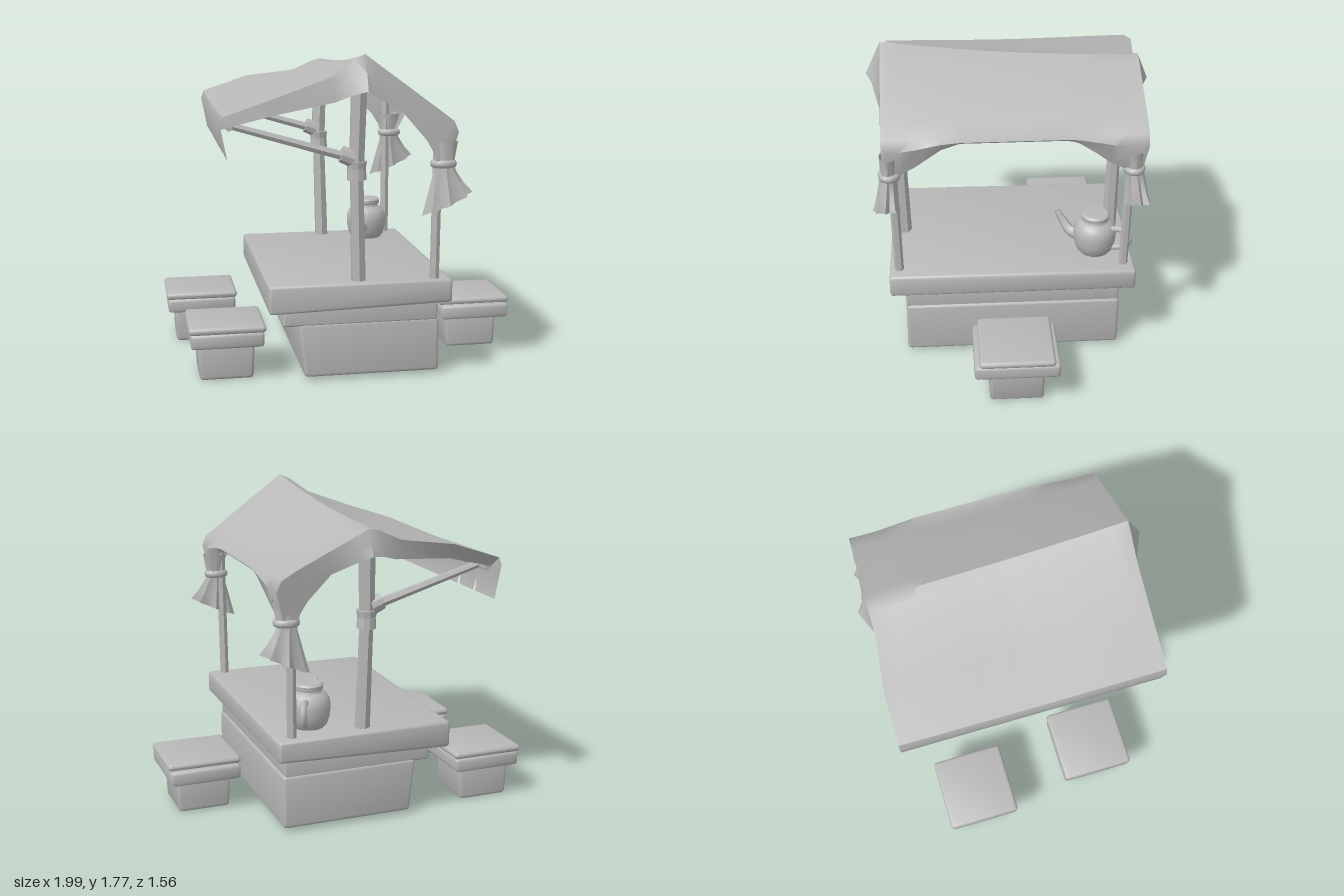
import * as THREE from 'three';
import { toCreasedNormals } from 'three/addons/utils/BufferGeometryUtils.js';
import { RoundedBoxGeometry } from 'three/addons/geometries/RoundedBoxGeometry.js';

const V = (x, y, z) => new THREE.Vector3(x, y, z);
const clamp = THREE.MathUtils.clamp;

export function createModel() {
  const model = new THREE.Group();
  const clay = new THREE.MeshStandardMaterial({ color: 0xb8b8b8, side: THREE.DoubleSide });
  clay.name = 'grey clay';

  const add = (name, geo, parent = model) => {
    const m = new THREE.Mesh(geo, clay);
    m.name = name;
    parent.add(m);
    return m;
  };
  const reshape = (geo, rule) => {
    const p = geo.attributes.position, v = V(0, 0, 0);
    for (let i = 0; i < p.count; i++) {
      rule(v.fromBufferAttribute(p, i));
      p.setXYZ(i, v.x, v.y, v.z);
    }
    return toCreasedNormals(geo, 0.6);
  };

  // Worn, round-edged block between two corners, slightly skewed by a rule
  const block = (name, x0, x1, y0, y1, z0, z1, r, rule = () => {}, parent = model) => {
    const geo = new RoundedBoxGeometry(x1 - x0, y1 - y0, z1 - z0, 2, r);
    geo.translate((x0 + x1) / 2, (y0 + y1) / 2, (z0 + z1) / 2);
    return add(name, reshape(geo, rule), parent);
  };

  // Straight pole between two points
  const pole = (name, a, b, ra, rb = ra, sides = 6) => {
    const d = b.clone().sub(a);
    const geo = new THREE.CylinderGeometry(rb, ra, d.length(), sides);
    const m = add(name, toCreasedNormals(geo, 0.6));
    m.position.copy(a).addScaledVector(d, 0.5);
    m.quaternion.setFromUnitVectors(V(0, 1, 0), d.normalize());
    return m;
  };

  // Grid surface from rows of points
  const surface = (name, rows) => {
    const n = rows[0].length, idx = [];
    for (let j = 0; j < rows.length - 1; j++)
      for (let i = 0; i < n - 1; i++) {
        const a = j * n + i, b = a + n;
        idx.push(a, b, a + 1, a + 1, b, b + 1);
      }
    const geo = new THREE.BufferGeometry().setFromPoints(rows.flat());
    geo.setIndex(idx);
    return add(name, toCreasedNormals(geo, 0.75));
  };

  // Counter
  block('counterBase', -0.32, 0.46, 0.02, 0.325, -0.62, 0.605, 0.02, v => {
    if (v.x < 0) v.x += (0.32 - v.y) * 0.1;
  });
  block('counterMiddle', -0.41, 0.45, 0.31, 0.43, -0.615, 0.605, 0.012, v => {
    if (v.x < 0 && v.y > 0.37) v.x += 0.02;
  });
  block('counterTop', -0.49, 0.51, 0.415, 0.555, -0.70, 0.69, 0.018, v => {
    if (v.y < 0.48) v.y += v.x * 0.03;
    else v.y += v.z * 0.006;
    if (v.z > 0 && v.x < 0) v.z -= 0.01;
  });

  // Stools
  [['rightStool', 0.78, 0, 0], ['backLeftStool', -0.79, -0.395, 1], ['frontLeftStool', -0.70, 0.35, 1]]
    .forEach(([name, x, z, turned]) => {
      const g = new THREE.Group();
      g.name = name;
      g.position.set(x, 0, z);
      model.add(g);
      block('stoolLeg', -0.16, 0.15, 0, 0.21, -0.15, 0.15, 0.02, v => {
        v.x *= 0.95 + v.y * 0.3;
      }, g);
      const d = turned ? 0.205 : 0.235;
      block('stoolFlange', -0.2, 0.2, 0.19, 0.275, -d, d, 0.02, v => {}, g);
      block('stoolCushion', -0.21, 0.21, 0.27, 0.312, -0.207, 0.207, 0.02, v => {}, g);
    });

  // Posts, bindings and braces at both ends
  for (const s of [1, -1]) {
    const top = s > 0 ? 1.72 : 1.62;
    pole('centrePostLower', V(0.003, 0.54, s * 0.61), V(-0.012, 1.2, s * 0.625), 0.042, 0.037);
    pole('centrePostUpper', V(-0.012, 1.18, s * 0.625), V(0, top, s * 0.645), 0.042, 0.046);
    pole('cornerPost', V(0.418, 0.54, s * 0.635), V(0.425, 1.4, s * 0.65), 0.026);
    pole('postBinding', V(-0.01, 1.11, s * 0.622), V(-0.012, 1.17, s * 0.623), 0.053, 0.05, 10);
    pole('postBinding', V(-0.012, 1.17, s * 0.623), V(-0.012, 1.21, s * 0.623), 0.05, 0.056, 10);
    pole('braceBinding', V(-0.03, 1.225, s * 0.625), V(-0.095, 1.25, s * 0.625), 0.05, 0.045, 10);
    pole('brace', V(0.01, 1.212, s * 0.625), V(-0.69, 1.415, s * 0.62), 0.027, 0.02);
  }
  pole('eavePole', V(-0.685, 1.405, 0.66), V(-0.685, 1.405, -0.7), 0.02);
  pole('ridgePole', V(0.01, 1.69, 0.68), V(0.01, 1.6, -0.7), 0.025);

  // Cloth roof: cross-section of the top, and the lower edge of the end flaps
  const roofLine = [[-0.70, 1.24], [-0.735, 1.42], [-0.72, 1.465], [-0.45, 1.555], [-0.16, 1.66],
    [-0.04, 1.745], [0.02, 1.775], [0.08, 1.73], [0.25, 1.605], [0.42, 1.48], [0.5, 1.42], [0.525, 1.36], [0.48, 1.2]];
  const flapLine = [[-0.70, 1.24], [-0.73, 1.40], [-0.70, 1.41], [-0.45, 1.47], [-0.14, 1.53],
    [-0.05, 1.57], [0.02, 1.59], [0.07, 1.56], [0.22, 1.47], [0.35, 1.32], [0.39, 1.25], [0.40, 1.21], [0.42, 1.19]];
  const ridgeDrop = (x, z) => {
    const t = clamp((0.65 - z) / 1.33, 0, 1);
    return 0.115 * Math.pow(t, 0.75) * clamp(1 - Math.abs(x - 0.02) / 0.45, 0, 1);
  };
  const notches = [0.475, -0.34, -0.53];
  const roofRow = z => roofLine.map(([x, y], i) => {
    const a = Math.abs(z);
    const arch = 1 - THREE.MathUtils.smoothstep(a, 0.28, 0.64);
    // Raised side hem in the middle, torn notches on the long eave
    if (i === 12) { y = 1.2 + 0.2 * arch; x += 0.035 * arch; }
    if (i === 11) { y += 0.05 * arch; }
    if (i === 0 && notches.some(n => Math.abs(n - z) < 0.001)) { y += 0.07; x -= 0.01; }
    const sag = i > 1 && i < 11 ? 0.012 * (1 - a / 0.7) : 0;
    let zz = z;
    if (z < -0.7 && i < 4) zz -= 0.035;
    if (i === 12 && a > 0.6) zz *= 0.97;
    return V(x, y - ridgeDrop(x, z) - sag, zz);
  });
  const flapRow = (s, k) => {
    const edge = roofRow(s > 0 ? 0.695 : -0.725);
    return flapLine.map(([x, y], i) => {
      const out = i === 6 ? 0.78 : i === 5 || i === 7 ? 0.75 : i > 9 ? 0.70 : 0.705;
      const low = V(x, y - ridgeDrop(x, s * 0.65) * 0.6, i < 2 ? edge[i].z : s * out);
      return edge[i].lerp(low, k);
    });
  };
  const zs = [0.695, 0.67, 0.6, 0.53, 0.49, 0.475, 0.46, 0.38, 0.28, 0.1, -0.1, -0.28, -0.32, -0.34, -0.36,
    -0.44, -0.515, -0.53, -0.545, -0.6, -0.68, -0.725];
  surface('clothRoof', [flapRow(1, 1), flapRow(1, 0.5), ...zs.map(roofRow), flapRow(-1, 0.5), flapRow(-1, 1)]);

  // Gathered cloth, tie and hanging tail at the two corner posts
  for (const s of [1, -1]) {
    const rings = [[0.46, 1.31, 0.07, 0.05, 0], [0.452, 1.2, 0.055, 0.04, 0], [0.455, 1.15, 0.055, 0.042, 0.1],
      [0.462, 1.06, 0.085, 0.05, 0.3], [0.47, 0.975, 0.115, 0.062, 0.45]];
    surface('gatheredCloth', rings.map(([x, y, rx, rz, slant], j) =>
      Array.from({ length: 17 }, (_, i) => {
        const a = i / 16 * Math.PI * 2, fold = 1 + (i % 2 ? -0.05 : 0.05) * j;
        const dx = Math.cos(a) * rx * fold;
        return V(x + dx, y + dx * slant, s * (0.66 + 0.006 * j) + Math.sin(a) * rz * fold);
      })));
    const tie = add('clothTie', new THREE.TorusGeometry(0.055, 0.018, 8, 20));
    tie.rotation.x = Math.PI / 2;
    tie.scale.set(1, 0.85, 1.2);
    tie.position.set(0.452, 1.19, s * 0.66);
  }

  // Teapot
  const pot = new THREE.Group();
  pot.name = 'teapot';
  model.add(pot);
  const lathe = (name, pts) => {
    const geo = new THREE.LatheGeometry(pts.map(p => new THREE.Vector2(...p)), 28);
    add(name, toCreasedNormals(geo, 0.7), pot).position.set(0.27, 0, -0.488);
  };
  lathe('teapotBody', [[0, 0.55], [0.085, 0.55], [0.105, 0.575], [0.118, 0.62], [0.122, 0.67],
    [0.118, 0.705], [0.1, 0.735], [0.075, 0.75], [0.07, 0.765]]);
  lathe('teapotLid', [[0.07, 0.762], [0.08, 0.768], [0.082, 0.79], [0.072, 0.8], [0, 0.803]]);
  const tube = (name, pts, r, taper) => {
    const curve = new THREE.CatmullRomCurve3(pts), geo = new THREE.TubeGeometry(curve, 16, r, 10);
    const p = geo.attributes.position, v = V(0, 0, 0);
    for (let i = 0; i < p.count; i++) {
      const t = Math.floor(i / 11) / 16, c = curve.getPointAt(t);
      v.fromBufferAttribute(p, i).sub(c).multiplyScalar(1 - taper * t).add(c);
      p.setXYZ(i, v.x, v.y, v.z);
    }
    geo.computeVertexNormals();
    add(name, geo, pot);
  };
  tube('teapotSpout', [V(0.24, 0.63, -0.41), V(0.2, 0.645, -0.35), V(0.172, 0.69, -0.315), V(0.152, 0.748, -0.28)], 0.038, 0.55);
  tube('teapotHandle', [V(0.32, 0.715, -0.58), V(0.345, 0.725, -0.63), V(0.365, 0.69, -0.672),
    V(0.355, 0.625, -0.66), V(0.315, 0.59, -0.575)], 0.018, 0.1);

  return model;
}
